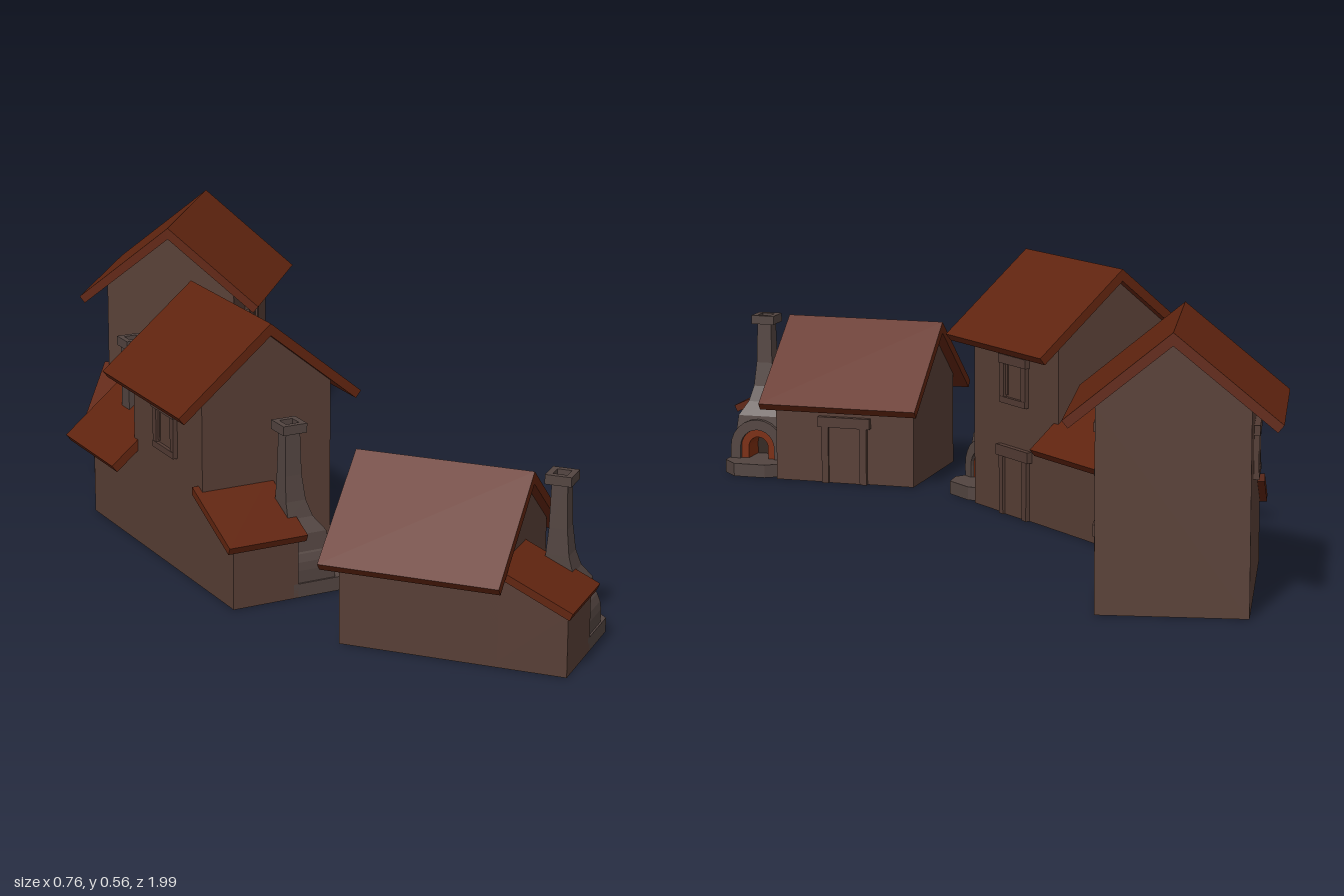
import * as THREE from 'three';

const mat = (name, color, side = THREE.FrontSide) => {
  const m = new THREE.MeshStandardMaterial({ color, side });
  m.name = name;
  return m;
};

export function createModel() {
  const wallMat = mat('plaster brown', 0x573e35);
  const trimMat = mat('trim brown', 0x523b33);
  const stoneMat = mat('stone', 0x524440);
  const roofMat = mat('roof tile', 0x60240f);
  const fireMat = mat('fire brick', 0x7a2c0e);
  const darkMat = mat('soot', 0x33251f);

  const add = (parent, name, geo, material, x = 0, y = 0, z = 0) => {
    const m = new THREE.Mesh(geo, material);
    m.name = name;
    m.position.set(x, y, z);
    parent.add(m);
    return m;
  };
  const box = (parent, name, w, h, d, material, x, y, z) =>
    add(parent, name, new THREE.BoxGeometry(w, h, d), material, x, y, z);
  const poly = (pts) => new THREE.Shape(pts.map(([x, y]) => new THREE.Vector2(x, y)));
  const extrude = (shape, depth) =>
    new THREE.ExtrudeGeometry(shape, { depth, bevelEnabled: false, curveSegments: 6 });
  // (x, y) profile pushed from z0 to z1
  const alongZ = (shape, z0, z1) => extrude(shape, z1 - z0).translate(0, 0, z0);
  // (z, y) profile pushed from x0 to x1
  const alongX = (shape, x0, x1) => extrude(shape, x1 - x0).rotateY(-Math.PI / 2).translate(x1, 0, 0);

  // Flat-sided loft through square sections [centre x, y, width, depth]
  function loft(sections) {
    const pos = [], idx = [];
    for (const [cx, y, w, d] of sections)
      for (const [sx, sz] of [[-1, -1], [1, -1], [1, 1], [-1, 1]])
        pos.push(cx + sx * w / 2, y, sz * d / 2);
    for (let s = 0; s < sections.length - 1; s++)
      for (let i = 0; i < 4; i++) {
        const a = s * 4 + i, b = s * 4 + (i + 1) % 4;
        idx.push(a, a + 4, b, b, a + 4, b + 4);
      }
    const g = new THREE.BufferGeometry();
    g.setAttribute('position', new THREE.Float32BufferAttribute(pos, 3));
    g.setIndex(idx);
    const flat = g.toNonIndexed();
    flat.computeVertexNormals();
    return flat;
  }

  // Gabled walls under a two-slope roof slab
  function gabledBlock(parent, ridge, wallZ, roofZ) {
    const e = ridge - 0.148, a = ridge - 0.026;
    add(parent, 'walls', alongZ(poly([[-0.15, 0], [0.15, 0], [0.15, e], [0, a], [-0.15, e]]), ...wallZ), wallMat);
    add(parent, 'gableRoof', alongZ(poly([
      [0, ridge], [-0.212, ridge - 0.174], [-0.2, ridge - 0.189], [0, a],
      [0.2, ridge - 0.189], [0.212, ridge - 0.174]]), ...roofZ), roofMat);
  }

  // Framed window on a side wall; side is +1 or -1
  function sideWindow(parent, side) {
    const g = new THREE.Group();
    g.name = 'window';
    for (const s of [-1, 1]) {
      box(g, 'windowPost', 0.016, 0.085, 0.02, trimMat, s * 0.042, 0, 0);
      box(g, 'windowInnerPost', 0.008, 0.07, 0.01, trimMat, s * 0.03, 0, 0);
    }
    box(g, 'windowHead', 0.108, 0.02, 0.024, trimMat, 0, 0.045, 0);
    box(g, 'windowSill', 0.1, 0.014, 0.022, trimMat, 0, -0.046, 0);
    box(g, 'windowPane', 0.07, 0.08, 0.004, wallMat, 0, 0, 0.001);
    g.position.set(side * 0.15, 0.303, 0);
    g.rotation.y = side * Math.PI / 2;
    parent.add(g);
  }

  // Door with posts and a wide lintel on the +x wall
  function sideDoor(parent) {
    const g = new THREE.Group();
    g.name = 'door';
    for (const s of [-1, 1]) box(g, 'doorPost', 0.016, 0.135, 0.02, trimMat, s * 0.046, 0.0675, 0);
    box(g, 'doorLintel', 0.125, 0.024, 0.026, trimMat, 0, 0.143, 0);
    box(g, 'doorLeaf', 0.076, 0.13, 0.006, wallMat, 0, 0.065, 0.001);
    g.position.x = 0.15;
    g.rotation.y = Math.PI / 2;
    parent.add(g);
  }

  // Square chimney cap with an open flue
  function chimneyCap(parent, size, x, top, z) {
    const h = size / 2, k = size * 0.27;
    const s = poly([[-h, -h], [h, -h], [h, h], [-h, h]]);
    s.holes.push(poly([[-k, -k], [-k, k], [k, k], [k, -k]]));
    add(parent, 'chimneyCap', extrude(s, 0.02).rotateX(-Math.PI / 2), stoneMat, x, top - 0.02, z);
    box(parent, 'flue', k * 2, 0.004, k * 2, darkMat, x, top - 0.015, z);
  }

  // Round-topped profile standing on y = base
  function arch(r, cy, base, Kind = THREE.Shape) {
    const s = new Kind();
    s.moveTo(-r, base);
    s.lineTo(r, base);
    s.lineTo(r, cy);
    s.absarc(0, cy, r, 0, Math.PI, false);
    s.lineTo(-r, base);
    return s;
  }
  function archRing(r, inner, cy, base) {
    const s = arch(r, cy, base);
    s.holes.push(arch(inner, cy, base + 0.0005, THREE.Path));
    return s;
  }

  // Forge: plinth, arched hearth, flared hood and chimney
  function forge(parent) {
    const g = new THREE.Group();
    g.name = 'forge';
    const plinth = poly([[-0.01, -0.07], [0.112, -0.07], [0.148, -0.035], [0.148, 0.04], [0.125, 0.075], [-0.01, 0.075]]);
    add(g, 'plinth', extrude(plinth, 0.03).rotateX(-Math.PI / 2), stoneMat);
    add(g, 'hearthArch', alongX(archRing(0.066, 0.042, 0.057, 0.028), -0.005, 0.088), stoneMat);
    add(g, 'fireBricks', alongX(archRing(0.042, 0.024, 0.057, 0.028), 0.015, 0.08), fireMat);
    add(g, 'hearthBack', alongX(arch(0.042, 0.057, 0.028), 0.005, 0.02), darkMat);
    add(g, 'hoodAndChimney', loft([
      [0.035, 0.09, 0.09, 0.11], [0.035, 0.13, 0.082, 0.1], [0.024, 0.16, 0.058, 0.066],
      [0.018, 0.195, 0.046, 0.048], [0.015, 0.25, 0.038, 0.038], [0.015, 0.345, 0.033, 0.033]]), stoneMat);
    chimneyCap(g, 0.055, 0.015, 0.362, 0);
    g.position.z = 0.24;
    parent.add(g);
  }

  // Lean-to shed beside the forge
  function leanTo(parent) {
    add(parent, 'leanToWalls', alongX(poly([[0.15, 0], [0.31, 0], [0.31, 0.13], [0.15, 0.204]]), -0.15, 0), wallMat);
    add(parent, 'leanToRoof', alongX(poly([
      [0.15, 0.22], [0.15, 0.203], [0.317, 0.125], [0.324, 0.14]]), -0.165, 0.015), roofMat);
  }

  function house(name, ridge, x, z, angle) {
    const g = new THREE.Group();
    g.name = name;
    gabledBlock(g, ridge, [-0.165, 0.168], [-0.188, 0.188]);
    leanTo(g);
    forge(g);
    sideDoor(g);
    if (ridge > 0.5) for (const s of [-1, 1]) sideWindow(g, s);
    g.position.set(x, 0, z);
    g.rotation.y = THREE.MathUtils.degToRad(angle);
    return g;
  }

  const model = new THREE.Group();
  model.name = 'village';
  model.add(house('cottage', 0.361, 0.005, 0.6375, 40.3));
  const middle = house('middleHouse', 0.56, -0.17, 0.0375, 0);
  model.add(middle, house('tallHouse', 0.56, 0.0975, -0.7225, -39.7));

  // Low rear wing of the middle house, with chimney and pointed window
  const wing = new THREE.Group();
  wing.name = 'rearWing';
  gabledBlock(wing, 0.357, [-0.38, -0.16], [-0.393, -0.148]);
  box(wing, 'wingChimney', 0.04, 0.2, 0.038, stoneMat, -0.095, 0.31, -0.285);
  chimneyCap(wing, 0.052, -0.095, 0.42, -0.285);
  const outline = (w, y0, y1, top) => [[-w, y0], [w, y0], [w, y1], [0, top], [-w, y1]];
  const frame = poly(outline(0.05, 0.04, 0.115, 0.18));
  frame.holes.push(poly(outline(0.032, 0.055, 0.108, 0.152).reverse()));
  add(wing, 'pointedWindowFrame', alongZ(frame, -0.39, -0.375), trimMat);
  add(wing, 'pointedWindowPane', alongZ(poly(outline(0.033, 0.054, 0.108, 0.153)), -0.382, -0.376), wallMat);
  middle.add(wing);

  return model;
}
